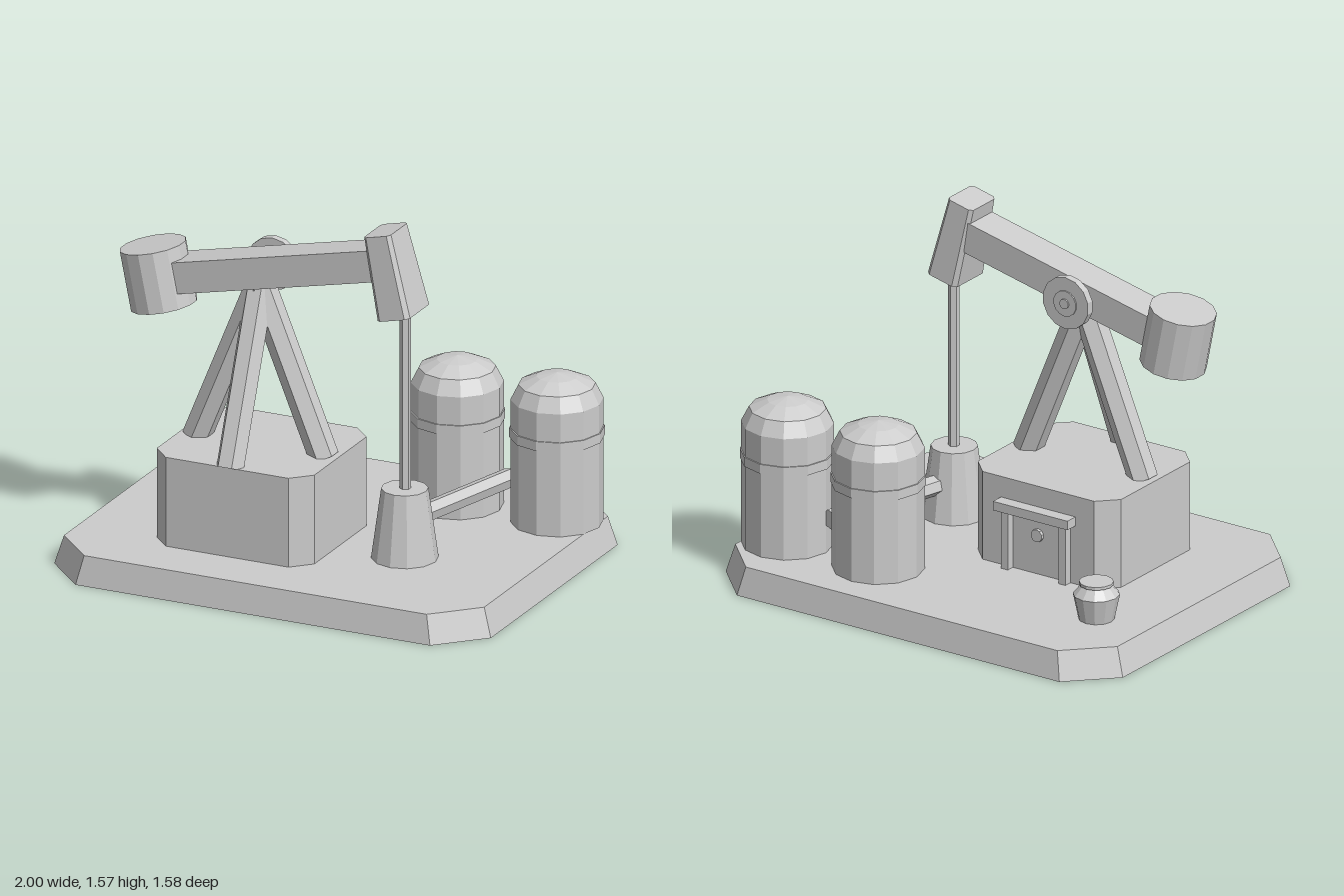
import * as THREE from 'three';

const UP = new THREE.Vector3(0, 1, 0);

export function createModel() {
  const model = new THREE.Group();
  // Open shells such as the slab show their insides
  const grey = new THREE.MeshStandardMaterial({ color: 0xcccccc, side: THREE.DoubleSide });
  grey.name = 'paleGrey';

  function add(name, geometry, x = 0, y = 0, z = 0, parent = model) {
    const flat = geometry.index ? geometry.toNonIndexed() : geometry;
    flat.computeVertexNormals();
    const mesh = new THREE.Mesh(flat, grey);
    mesh.name = name;
    mesh.position.set(x, y, z);
    parent.add(mesh);
    return mesh;
  }

  // Eight corners of a chamfered rectangle, anticlockwise seen from above
  function ring([w, d, c], y) {
    const a = w / 2, b = d / 2;
    return [[a, c - b], [a - c, -b], [c - a, -b], [-a, c - b], [-a, b - c], [c - a, b], [a - c, b], [a, b - c]]
      .map(([x, z]) => [x, y, z]);
  }

  // Chamfered block tapering from bottom [w, d, chamfer] to top; the underside may be left open
  function chamferedBlock(bottom, top, h, closed) {
    const lo = ring(bottom, 0), hi = ring(top, h), corners = [];
    for (let i = 0; i < 8; i++) {
      const j = (i + 1) % 8;
      corners.push(lo[i], lo[j], hi[j], lo[i], hi[j], hi[i], hi[i], hi[j], [0, h, 0]);
      if (closed) corners.push(lo[j], lo[i], [0, 0, 0]);
    }
    const geometry = new THREE.BufferGeometry();
    geometry.setAttribute('position', new THREE.Float32BufferAttribute(corners.flat(), 3));
    return geometry;
  }

  // Straight round bar between two points, optionally rolled about its axis
  function bar(name, from, to, radius, sides = 6, roll = 0) {
    const a = new THREE.Vector3(...from), b = new THREE.Vector3(...to);
    const dir = b.clone().sub(a);
    const mesh = add(name, new THREE.CylinderGeometry(radius, radius, dir.length(), sides).rotateY(roll));
    mesh.position.copy(a).add(b).multiplyScalar(0.5);
    mesh.quaternion.setFromUnitVectors(UP, dir.normalize());
  }

  function lathe(profile, sides) {
    return new THREE.LatheGeometry(profile.map(([r, y]) => new THREE.Vector2(r, y)), sides);
  }

  const ground = 0.125;

  // Hollow ground slab and machine block
  add('baseSlab', chamferedBlock([2, 1.58, 0.188], [1.925, 1.53, 0.178], ground, false));
  add('machineBlock', chamferedBlock([0.722, 0.655, 0.08], [0.722, 0.655, 0.08], 0.392, true), -0.248, ground, 0.192);

  // Doorway on the back of the block
  add('doorLintel', new THREE.BoxGeometry(0.375, 0.04, 0.06), -0.247, 0.405, -0.163);
  for (const side of [-1, 1]) {
    add('doorPost', new THREE.BoxGeometry(0.035, 0.265, 0.04), -0.247 + side * 0.145, 0.257, -0.152);
  }
  const knob = add('doorKnob', new THREE.CylinderGeometry(0.028, 0.028, 0.02, 10), -0.247, 0.3, -0.14);
  knob.rotation.x = Math.PI / 2;

  // Tripod
  const apex = [-0.248, 1.22, 0.203];
  bar('leftLeg', [0.043, 0.505, 0.203], apex, 0.063);
  bar('rightLeg', [-0.539, 0.505, 0.203], apex, 0.063);
  bar('frontLeg', [-0.248, 0.505, 0.492], apex, 0.062, 6, Math.PI / 6);

  // Pivot wheel with stepped hub
  bar('pivotWheel', [-0.25, 1.27, 0.056], [-0.25, 1.27, 0.09], 0.115, 14);
  bar('pivotHub', [-0.25, 1.27, 0.05], [-0.25, 1.27, 0.06], 0.057, 14);
  bar('pivotCap', [-0.25, 1.27, 0.044], [-0.25, 1.27, 0.052], 0.022, 14);

  // Tilted walking beam
  const tilt = 0.22;
  const beam = add('walkingBeam', new THREE.BoxGeometry(0.98, 0.136, 0.163), -0.153, 1.312, 0.198);
  beam.rotation.z = tilt;

  // Counterweight shell, open underneath
  const weight = add('counterweight', lathe([[0.141, -0.13], [0.141, 0.13], [0, 0.13]], 14), -0.717, 1.185, 0.2);
  weight.rotation.z = 0.2;

  // Tapered head of the beam
  const head = add('beamHead', chamferedBlock([0.152, 0.217, 0.018], [0.126, 0.18, 0.015], 0.36, true), 0.407, 1.202, 0.203);
  head.rotation.z = tilt + 0.01;

  // Pump rod and wellhead
  bar('pumpRod', [0.415, 0.4, 0.203], [0.415, 1.25, 0.203], 0.024);
  add('wellhead', new THREE.CylinderGeometry(0.098, 0.14, 0.305, 12), 0.413, ground + 0.1525, 0.203);

  // Domed storage tanks with bands
  for (const x of [0.338, 0.795]) {
    add('storageTank', lathe([[0.193, ground], [0.193, 0.665], [0.16, 0.73], [0.085, 0.765], [0, 0.78]], 12),
      x, 0, -0.45);
    add('tankBand', new THREE.CylinderGeometry(0.198, 0.198, 0.042, 12), x, 0.52, -0.45);
  }

  // Pipe from wellhead to between the tanks
  bar('feedPipe', [0.425, 0.28, 0.13], [0.58, 0.28, -0.455], 0.043);

  // Small pot on the slab
  add('pot', lathe([[0.075, ground], [0.098, 0.235], [0.064, 0.275], [0.072, 0.277],
    [0.072, 0.29], [0, 0.29]], 12), -0.715, 0, -0.385);

  return model;
}
